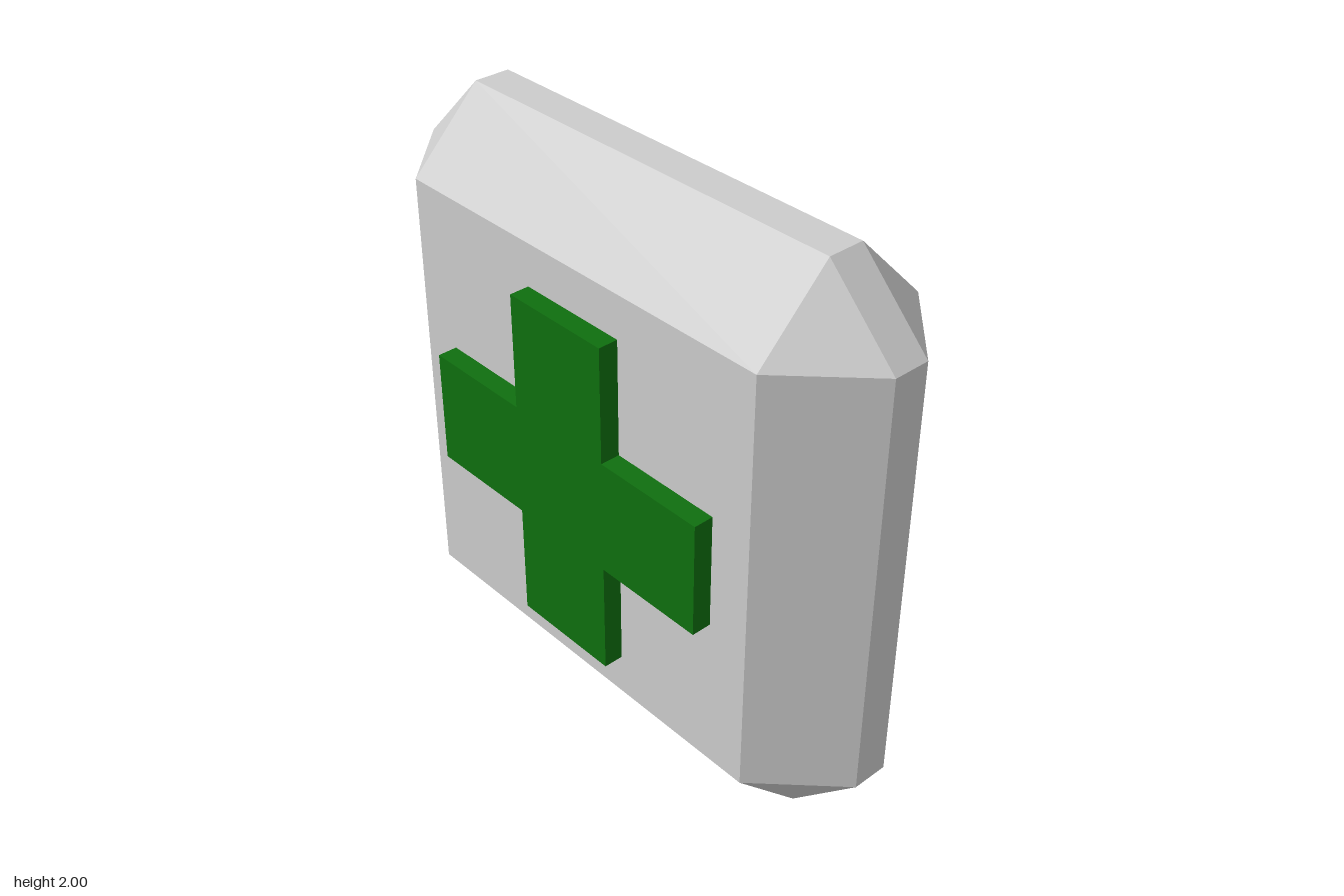
import * as THREE from 'three';
import { ConvexGeometry } from 'three/addons/geometries/ConvexGeometry.js';

const HALF = new THREE.Vector3(0.315, 1, 1); // half size of the case
const BEVEL = 0.252;
const CROSS_FACE = 0.383; // x of the raised cross face
const SIGNS = [-1, 1];

// Box with chamfered edges and triangular corners
function chamferedBox(half, bevel) {
  const points = [];
  for (const sx of SIGNS) for (const sy of SIGNS) for (const sz of SIGNS) {
    for (const axis of ['x', 'y', 'z']) {
      const p = half.clone().subScalar(bevel);
      p[axis] = half[axis];
      points.push(p.multiply(new THREE.Vector3(sx, sy, sz)));
    }
  }
  return new ConvexGeometry(points);
}

// Plus-shaped outline with arm half width w and reach r
function plusShape(w, r) {
  return new THREE.Shape([
    [w, w], [w, r], [-w, r], [-w, w], [-r, w], [-r, -w],
    [-w, -w], [-w, -r], [w, -r], [w, -w], [r, -w], [r, w],
  ].map(([x, y]) => new THREE.Vector2(x, y)));
}

export function createModel() {
  const group = new THREE.Group();
  group.name = 'medicalKit';

  const caseMesh = new THREE.Mesh(
    chamferedBox(HALF, BEVEL),
    new THREE.MeshStandardMaterial({ color: 0xcccccc, flatShading: true })
  );
  caseMesh.name = 'case';
  caseMesh.position.y = 1;
  group.add(caseMesh);

  // Raised cross on each broad side, set slightly into the case
  const green = new THREE.MeshStandardMaterial({ color: 0x0f6f0f, flatShading: true });
  const sink = 0.02;
  const crossGeometry = new THREE.ExtrudeGeometry(plusShape(0.2, 0.6), {
    depth: CROSS_FACE - HALF.x + sink,
    bevelEnabled: false,
  });
  for (const side of SIGNS) {
    const cross = new THREE.Mesh(crossGeometry, green);
    cross.name = side > 0 ? 'leftCross' : 'rightCross';
    cross.rotation.y = side * Math.PI / 2;
    cross.position.set(side * (HALF.x - sink), 1, 0);
    group.add(cross);
  }
  return group;
}
